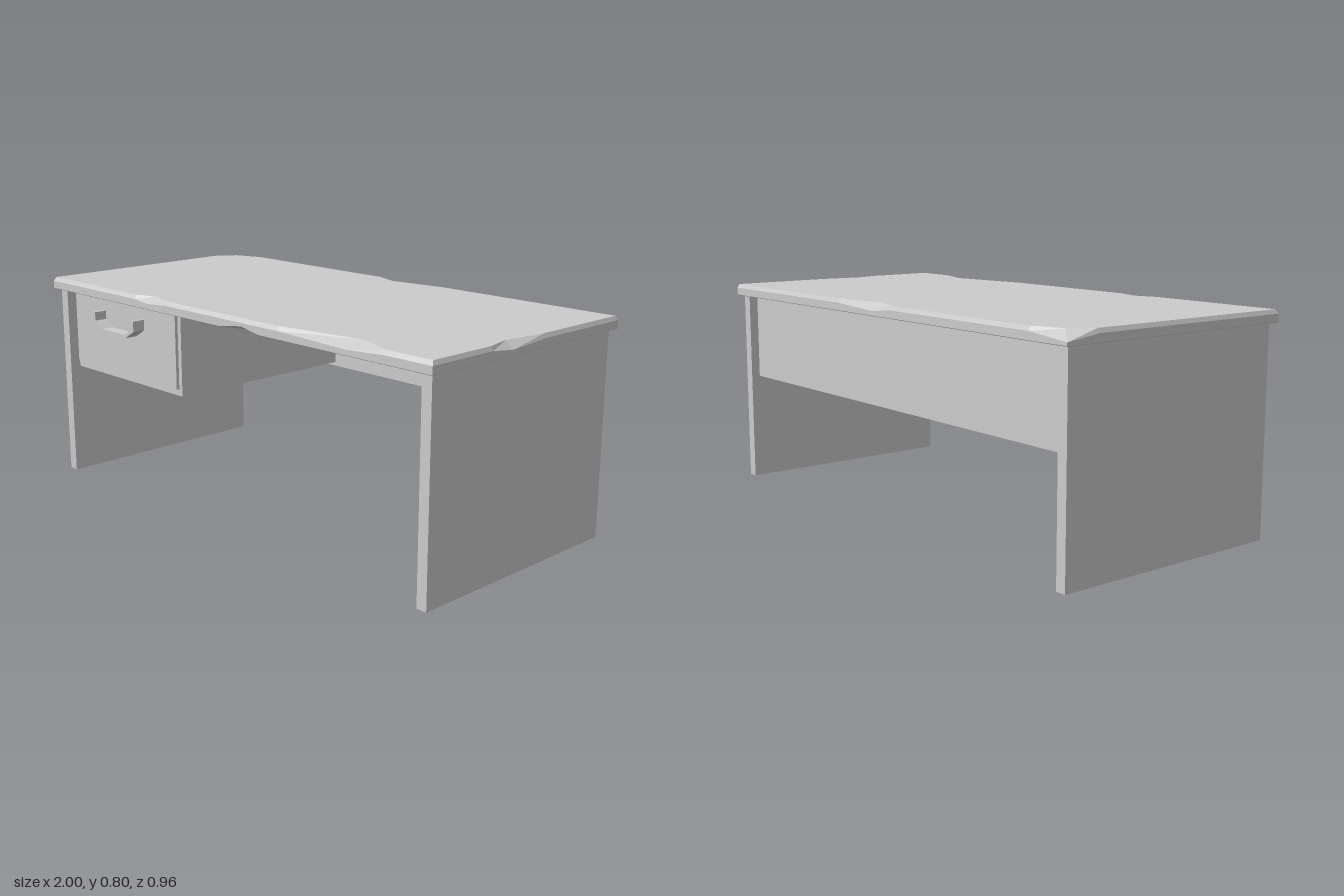
import * as THREE from 'three';

const material = new THREE.MeshStandardMaterial({ color: 0xcccccc, flatShading: true, side: THREE.DoubleSide });

// Box given by its minimum and maximum corners
function box(name, [x0, y0, z0], [x1, y1, z1]) {
  const mesh = new THREE.Mesh(new THREE.BoxGeometry(x1 - x0, y1 - y0, z1 - z0), material);
  mesh.position.set((x0 + x1) / 2, (y0 + y1) / 2, (z0 + z1) / 2);
  mesh.name = name;
  return mesh;
}

// Worn slab: four rings (underside, lower rim, upper rim, top) through stations
// around the edge. A chip pulls the top ring inward and lowers the upper rim.
function tableTop() {
  const X = 1, Z = 0.478, RIM = 0.785;
  // outer x, outer z, top x, top z, upper rim y, lower rim y, underside inset
  const stations = [
    [-X, Z, -0.993, 0.468],
    [-0.45, Z, -0.45, 0.468],
    [-0.37, Z, -0.37, 0.44, 0.777],
    [-0.27, Z, -0.27, 0.468],
    [0.03, Z, 0.03, 0.468],
    [0.15, Z, 0.15, 0.468, RIM, 0.773, 0.04],
    [0.24, Z, 0.24, 0.468],
    [0.33, Z, 0.33, 0.468],
    [0.65, Z, 0.67, 0.415, 0.775],
    [0.81, Z, 0.81, 0.468],
    [X, Z, 0.993, 0.468],
    [X, 0.2, 0.993, 0.2],
    [X, 0.1, 0.97, 0.1, 0.773],
    [X, -0.07, 0.993, -0.07],
    [X, -Z, 0.993, -0.47],
    [0.23, -Z, 0.23, -0.47],
    [0, -Z, 0, -0.435, 0.773],
    [-0.1, -Z, -0.1, -0.47],
    [-0.83, -Z, -0.83, -0.47],
    [-X, -Z, -0.94, -0.43, 0.768],
    [-X, -0.35, -0.993, -0.35],
  ];
  const n = stations.length;
  const rings = [[], [], [], []];
  for (const [x, z, tx, tz, rim = RIM, low = 0.757, inset = 0.002] of stations) {
    rings[0].push([x * (1 - 0.002), 0.755, z - Math.sign(z) * inset]);
    rings[1].push([x, low, z]);
    rings[2].push([x, rim, z]);
    rings[3].push([tx, 0.8, tz]);
  }
  const index = [];
  for (let r = 0; r < 3; r++) {
    for (let i = 0; i < n; i++) {
      const j = (i + 1) % n;
      const a = r * n + i, b = r * n + j;
      index.push(a, b, b + n, a, b + n, a + n);
    }
  }
  // Caps
  const cap = (ring) => THREE.ShapeUtils.triangulateShape(ring.map(([x, , z]) => new THREE.Vector2(x, -z)), []);
  for (const [a, b, c] of cap(rings[3])) index.push(3 * n + a, 3 * n + b, 3 * n + c);
  for (const [a, b, c] of cap(rings[0])) index.push(a, c, b);

  const indexed = new THREE.BufferGeometry();
  indexed.setAttribute('position', new THREE.Float32BufferAttribute(rings.flat(2), 3));
  indexed.setIndex(index);
  const geometry = indexed.toNonIndexed();
  geometry.computeVertexNormals();
  const mesh = new THREE.Mesh(geometry, material);
  mesh.name = 'tableTop';
  return mesh;
}

// Drawer pull: a bent strip with slanted lower corners
function drawerHandle() {
  const outer = [[-0.132, 0.035], [-0.132, -0.005], [-0.08, -0.036]];
  const inner = [[-0.117, 0.035], [-0.117, 0.002], [-0.075, -0.025]];
  const mirror = (points) => points.map(([x, y]) => [-x, y]).reverse();
  const outline = [...outer, ...mirror(outer), ...inner.map(([x, y]) => [-x, y]), ...mirror(inner).map(([x, y]) => [-x, y])];
  const shape = new THREE.Shape(outline.map(([x, y]) => new THREE.Vector2(x, y)));
  const geometry = new THREE.ExtrudeGeometry(shape, { depth: 0.052, bevelEnabled: false });
  const mesh = new THREE.Mesh(geometry, material);
  mesh.position.set(-0.605, 0.661, 0.422);
  mesh.name = 'drawerHandle';
  return mesh;
}

export function createModel() {
  const desk = new THREE.Group();
  desk.name = 'desk';
  desk.add(tableTop());

  // Slab legs at both ends
  desk.add(box('rightLeg', [-0.98, 0, -0.455], [-0.94, 0.756, 0.455]));
  desk.add(box('leftLeg', [0.94, 0, -0.455], [0.98, 0.756, 0.455]));

  // Panel closing the back
  desk.add(box('backPanel', [-0.94, 0.42, -0.42], [0.94, 0.756, -0.385]));

  // Drawer unit hung under the top
  desk.add(box('drawerCabinet', [-0.94, 0.435, -0.385], [-0.265, 0.756, 0.412]));
  desk.add(box('drawerFront', [-0.927, 0.46, 0.41], [-0.283, 0.738, 0.424]));
  desk.add(drawerHandle());
  return desk;
}
